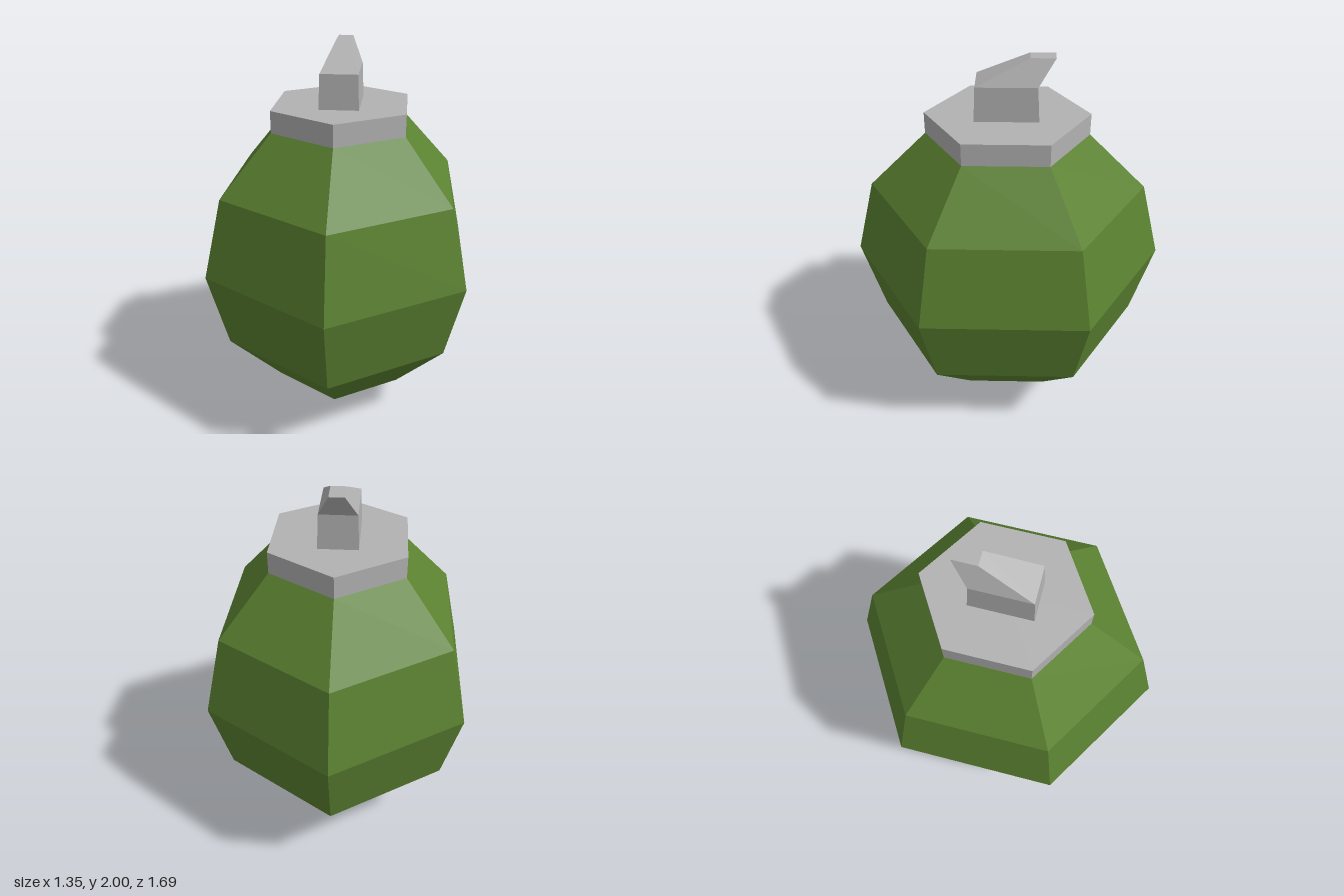
import * as THREE from 'three';

const SIDES = 6;
const WIDTH = 0.922; // the body is slightly narrower across x

// Give every face its own normal for a faceted look
function faceted(geometry) {
  const flat = geometry.toNonIndexed();
  flat.computeVertexNormals();
  return flat;
}

function part(name, geometry, material) {
  const mesh = new THREE.Mesh(faceted(geometry), material);
  mesh.name = name;
  return mesh;
}

export function createModel() {
  const group = new THREE.Group();
  group.name = 'grenade';
  const green = new THREE.MeshStandardMaterial({ color: 0x5b8231 });
  green.name = 'olive green';
  const grey = new THREE.MeshStandardMaterial({ color: 0xb2b2b2 });
  grey.name = 'metal grey';

  // Six-sided body, from the bottom tip to the neck
  const profile = [
    [0, 0], [0.424, 0.115], [0.734, 0.425], [0.847, 0.848], [0.734, 1.271], [0.424, 1.581],
  ].map(([r, y]) => new THREE.Vector2(r, y));
  const body = new THREE.LatheGeometry(profile, SIDES).scale(WIDTH, 1, 1);
  group.add(part('body', body, green));

  // Hexagonal collar on the neck
  const collar = new THREE.CylinderGeometry(0.424, 0.424, 0.115, SIDES)
    .scale(WIDTH, 1, 1).translate(0, 1.638, 0);
  group.add(part('collar', collar, grey));

  // Fuse lever: a box with two levels, narrowing and leaning backwards at the top
  const levels = [
    { y: 1.69, x: 0.102, front: 0.165, back: -0.16 },
    { y: 1.873, x: 0.096, front: 0.157, back: -0.15 },
    { y: 2.0, x: 0.038, front: -0.11, back: -0.235 },
  ];
  const lever = new THREE.BoxGeometry(2, 2, 2, 1, 2, 1);
  const p = lever.attributes.position;
  for (let i = 0; i < p.count; i++) {
    const l = levels[Math.round(p.getY(i)) + 1];
    p.setXYZ(i, p.getX(i) * l.x, l.y, p.getZ(i) > 0 ? l.front : l.back);
  }
  group.add(part('fuseLever', lever, grey));

  return group;
}
